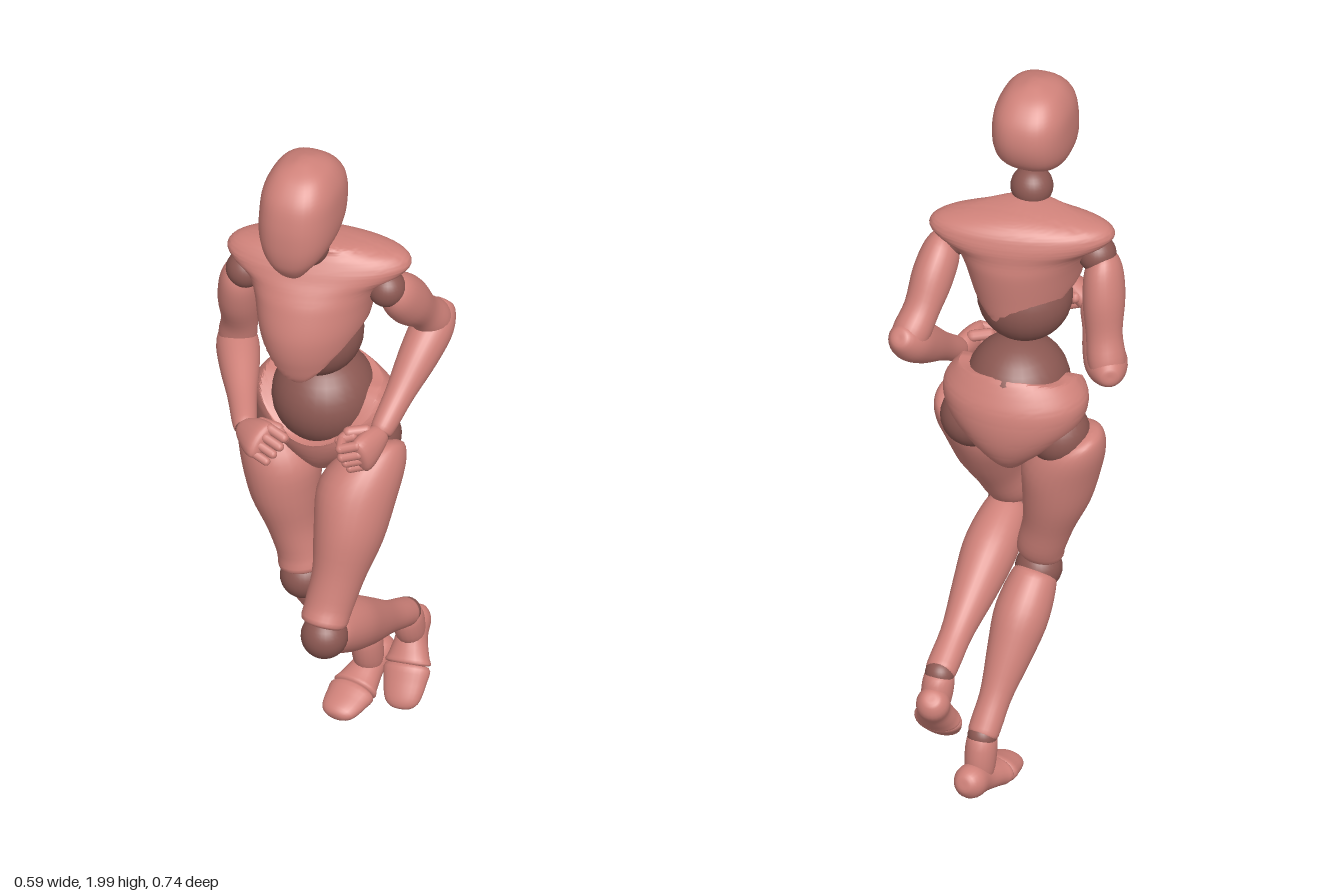
import * as THREE from 'three';
import { toCreasedNormals } from 'three/addons/utils/BufferGeometryUtils.js';

const skin = new THREE.MeshStandardMaterial({ color: 0xd0827a, side: THREE.DoubleSide });
const joint = new THREE.MeshStandardMaterial({ color: 0x8c5852 });
const V = (p) => new THREE.Vector3(...p);

// Smooth curve through the rows of section values
function spline(rows, f) {
  const n = rows.length - 1, i = Math.min(n - 1, Math.floor(f * n)), t = f * n - i;
  const [p, q, r, s] = [i - 1, i, i + 1, i + 2].map((k) => rows[Math.max(0, Math.min(n, k))]);
  return q.map((b, k) => 0.5 * (2 * b + (r[k] - p[k]) * t + (2 * p[k] - 5 * b + 4 * r[k] - s[k]) * t * t
    + (3 * b - p[k] - 3 * r[k] + s[k]) * t * t * t));
}

// Skin over sections [y, centreX, centreZ, radiusX, radiusZ], listed bottom to top;
// power 2 gives ellipses, more gives squarer sections
function loft(sections, { warp, rows = 28, cols = 28, power = 2 } = {}) {
  const pos = [], idx = [];
  for (let i = 0; i <= rows; i++) {
    const [y, cx, cz, rx, rz] = spline(sections, i / rows);
    for (let j = 0; j < cols; j++) {
      const a = (j / cols) * Math.PI * 2, c = Math.cos(a), s = Math.sin(a);
      const k = (Math.abs(c) ** power + Math.abs(s) ** power) ** (-1 / power);
      const v = new THREE.Vector3(cx + Math.max(rx, 1e-4) * c * k, y, cz + Math.max(rz, 1e-4) * s * k);
      if (warp) warp(v, a);
      pos.push(v.x, v.y, v.z);
      if (i < rows) {
        const p = i * cols + j, q = i * cols + (j + 1) % cols;
        idx.push(p, p + cols, q, q, p + cols, q + cols);
      }
    }
  }
  const g = new THREE.BufferGeometry();
  g.setAttribute('position', new THREE.Float32BufferAttribute(pos, 3));
  g.setIndex(idx);
  g.computeVertexNormals();
  return g;
}

function add(parent, name, geometry, material = skin) {
  const m = new THREE.Mesh(geometry, material);
  m.name = name;
  parent.add(m);
  return m;
}

function ball(parent, name, p, r) {
  const m = add(parent, name, new THREE.SphereGeometry(r, 28, 18), joint);
  m.position.set(...p);
  return m;
}

// Limb from a to b; sections are [t, offsetX, offsetZ, radiusX, radiusZ] with t = 0 at a
function limb(parent, name, a, b, sections, options) {
  const y = V(a).sub(V(b)), len = y.length();
  y.normalize();
  const x = new THREE.Vector3(1, 0, 0);
  x.addScaledVector(y, -x.dot(y)).normalize();
  const z = x.clone().cross(y);
  const g = loft(sections.map(([t, ...r]) => [(1 - t) * len, ...r]).reverse(), options);
  g.applyMatrix4(new THREE.Matrix4().makeBasis(x, y, z).setPosition(V(b)));
  return add(parent, name, g);
}

// Closed fist: reaches along +z, thumb up, palm towards s * x, then rolled palm downwards
function fist(parent, name, wrist, target, s, roll) {
  const g = new THREE.Group();
  g.name = name;
  limb(g, 'palm', [0, 0, -0.01], [0, 0, 0.1], [[0, 0, 0, 0, 0], [0.03, 0, 0, 0.022, 0.024], [0.4, 0, 0, 0.029, 0.043],
    [0.8, 0, 0, 0.028, 0.052], [0.97, 0, 0, 0.018, 0.042], [1, 0, 0, 0, 0]], { rows: 16, cols: 18 });
  const bone = (n, p, q, r) => {
    const d = V(q).sub(V(p));
    const m = add(g, n, new THREE.CapsuleGeometry(r, d.length(), 4, 10));
    m.position.copy(V(p)).addScaledVector(d, 0.5);
    m.quaternion.setFromUnitVectors(new THREE.Vector3(0, 1, 0), d.normalize());
  };
  for (let i = 0; i < 4; i++) {
    const y = 0.038 - i * 0.025, r = 0.0132 - i * 0.0006, k = 0.006 * Math.abs(i - 1);
    const path = [[0, y, 0.096 - k], [s * 0.036, y, 0.118 - k], [s * 0.054, y, 0.085 - k], [s * 0.032, y, 0.068 - k]];
    for (let j = 0; j < 3; j++) bone('finger', path[j], path[j + 1], r);
  }
  bone('thumb', [s * 0.012, 0.036, 0.03], [s * 0.042, 0.048, 0.06], 0.015);
  bone('thumb', [s * 0.042, 0.048, 0.06], [s * 0.06, 0.036, 0.085], 0.012);
  g.position.set(...wrist);
  g.lookAt(V(target));
  g.rotateZ(-s * roll);
  parent.add(g);
}

function arm(parent, side, s, shoulder, elbow, wrist, reach, roll) {
  ball(parent, side + 'ShoulderJoint', shoulder, 0.05);
  limb(parent, side + 'UpperArm', shoulder, elbow, [[-0.02, s * 0.02, 0, 0, 0], [0, s * 0.02, 0, 0.025, 0.034],
    [0.14, s * 0.014, 0, 0.048, 0.058], [0.4, s * 0.008, 0, 0.054, 0.063], [0.7, 0, 0, 0.047, 0.048], [0.93, 0, 0, 0.049, 0.052],
    [1.08, 0, 0, 0.036, 0.038], [1.13, 0, 0, 0, 0]]);
  ball(parent, side + 'ElbowJoint', elbow, 0.046);
  limb(parent, side + 'Forearm', elbow, wrist, [[-0.17, 0, 0, 0, 0], [-0.15, 0, 0, 0.03, 0.03], [0.03, 0, 0, 0.054, 0.054],
    [0.3, 0, 0, 0.052, 0.054], [0.65, 0, 0, 0.038, 0.038], [0.95, 0, 0, 0.031, 0.032], [1, 0, 0, 0.02, 0.02], [1.02, 0, 0, 0, 0]]);
  ball(parent, side + 'WristJoint', wrist, 0.025);
  fist(parent, side + 'Hand', wrist, reach, -s, roll);
}

function leg(parent, side, s, hip, knee, ankle, heel, sole, toe) {
  ball(parent, side + 'HipJoint', [s * 0.115, 1.03, -0.032], 0.083);
  limb(parent, side + 'Thigh', hip, knee, [[-0.02, s * 0.075, 0, 0, 0], [0, s * 0.07, 0, 0.03, 0.05], [0.1, s * 0.034, 0.006, 0.08, 0.09],
    [0.28, s * 0.01, 0.014, 0.102, 0.108], [0.5, s * 0.012, 0.012, 0.09, 0.1], [0.72, s * 0.008, 0.004, 0.068, 0.075], [0.9, 0, 0, 0.062, 0.061],
    [0.99, 0, 0.01, 0.055, 0.05], [1.0, 0, 0.01, 0, 0]]);
  ball(parent, side + 'KneeJoint', [knee[0], knee[1] - 0.035, knee[2] - 0.003], 0.061);
  const top = [knee[0], knee[1] - 0.04, knee[2] - 0.01];
  limb(parent, side + 'Shin', top, ankle, [[-0.02, 0, -0.01, 0, 0], [0, 0, -0.01, 0.047, 0.047], [0.08, 0, -0.012, 0.063, 0.064],
    [0.28, 0, -0.014, 0.071, 0.073], [0.5, 0, -0.006, 0.059, 0.063], [0.75, 0, 0, 0.042, 0.044], [0.93, 0, 0, 0.041, 0.039],
    [1, 0, 0, 0.036, 0.034], [1.03, 0, 0, 0, 0]]);
  ball(parent, side + 'AnkleJoint', ankle, 0.038);
  // Instep, heel and toes
  const mid = V(heel).lerp(V(sole), 0.4).toArray();
  limb(parent, side + 'Instep', ankle, mid, [[-0.1, 0, 0, 0, 0], [0, 0, 0, 0.036, 0.04], [0.6, 0, 0, 0.04, 0.046], [1, 0, 0, 0.03, 0.03],
    [1.1, 0, 0, 0, 0]], { rows: 14, cols: 20 });
  limb(parent, side + 'Foot', heel, sole, [[-0.27, 0, 0, 0, 0], [-0.24, 0, 0, 0.025, 0.025], [0, 0, 0, 0.043, 0.045], [0.4, 0, 0, 0.041, 0.041],
    [0.8, 0, 0, 0.053, 0.039], [0.99, 0, 0, 0.058, 0.035], [1, 0, 0, 0, 0]], { rows: 22, cols: 24 });
  limb(parent, side + 'Toes', sole, toe, [[0.0, 0, 0, 0, 0], [0.03, 0, 0, 0.058, 0.034], [0.4, 0, 0, 0.057, 0.031], [0.8, 0, 0, 0.046, 0.024],
    [0.97, 0, 0, 0.025, 0.013], [1, 0, 0, 0, 0]], { rows: 16, cols: 24 });
}

export function createModel() {
  const model = new THREE.Group();
  model.name = 'jointedFigure';

  // Head and neck
  add(model, 'head', loft([[1.69, 0.005, 0.222, 0, 0], [1.694, 0.005, 0.222, 0.026, 0.022], [1.73, 0.005, 0.2, 0.058, 0.072],
    [1.765, 0.005, 0.175, 0.083, 0.108], [1.81, 0.005, 0.154, 0.098, 0.132], [1.87, 0.005, 0.142, 0.101, 0.138],
    [1.93, 0.005, 0.138, 0.094, 0.122], [1.975, 0.005, 0.138, 0.067, 0.08], [1.996, 0.005, 0.138, 0.024, 0.03],
    [2, 0.005, 0.138, 0, 0]], { rows: 44, cols: 40, power: 2.5 }));
  ball(model, 'neckJoint', [0, 1.695, 0.1], 0.055);

  // Chest shell: lower rim arches over the ribs, shoulders turned a little
  const chest = loft([[1.285, 0, 0.06, 0, 0], [1.295, 0, 0.06, 0.085, 0.102], [1.36, 0, 0.063, 0.112, 0.131], [1.44, 0, 0.06, 0.133, 0.14],
    [1.52, 0, 0.045, 0.152, 0.133], [1.565, 0, 0.035, 0.176, 0.12], [1.595, 0, 0.026, 0.22, 0.11], [1.62, 0, 0.022, 0.234, 0.1],
    [1.645, 0, 0.02, 0.21, 0.086], [1.665, 0, 0.026, 0.14, 0.068], [1.677, 0, 0.045, 0.07, 0.05], [1.685, 0, 0.06, 0, 0]],
  { rows: 72, cols: 56, warp: (v, a) => {
    const f = Math.sin(a), rim = 1.45 - (f > 0 ? 0.145 : 0.1) * f * f;
    v.y = Math.max(v.y, rim);
    v.z -= 0.17 * v.x;
  } });
  add(model, 'chest', toCreasedNormals(chest, 0.6));
  ball(model, 'ribsJoint', [0, 1.39, 0.045], 0.123);

  // Belly and pelvis: waist rim dips at the front
  ball(model, 'bellyJoint', [0, 1.15, -0.01], 0.132).scale.set(1.02, 1, 1.06);
  const pelvis = loft([[0.915, 0, -0.03, 0, 0], [0.922, 0, -0.03, 0.028, 0.05], [0.965, 0, -0.032, 0.068, 0.1], [1.02, 0, -0.03, 0.13, 0.132],
    [1.08, 0, -0.027, 0.178, 0.146], [1.14, 0, -0.027, 0.19, 0.141], [1.185, 0, -0.022, 0.166, 0.127], [1.23, 0, -0.016, 0.118, 0.104],
    [1.25, 0, -0.012, 0.085, 0.08], [1.255, 0, -0.01, 0, 0]],
  { rows: 64, cols: 56, warp: (v, a) => {
    const f = Math.sin(a);
    v.y = Math.min(v.y, f > 0 ? 1.2 - 0.135 * f * f : 1.2 + 0.03 * f * f);
  } });
  add(model, 'pelvis', toCreasedNormals(pelvis, 0.6));

  arm(model, 'left', 1, [0.182, 1.55, 0.015], [0.243, 1.335, -0.168], [0.192, 1.135, 0.085], [0.165, 1.105, 0.21], 0.2);
  arm(model, 'right', -1, [-0.185, 1.545, 0.07], [-0.24, 1.25, -0.01], [-0.1, 1.205, 0.28], [0.01, 1.235, 0.37], 0.8);

  leg(model, 'left', 1, [0.125, 1.05, 0.005], [0.1, 0.6, 0.237], [0.14, 0.33, -0.22],
    [0.14, 0.275, -0.275], [0.15, 0.175, -0.205], [0.16, 0.085, -0.13]);
  leg(model, 'right', -1, [-0.13, 1.05, -0.03], [-0.05, 0.59, 0.01], [0.01, 0.195, -0.265],
    [0.02, 0.095, -0.335], [0, 0.048, -0.21], [-0.015, 0.024, -0.11]);
  return model;
}
